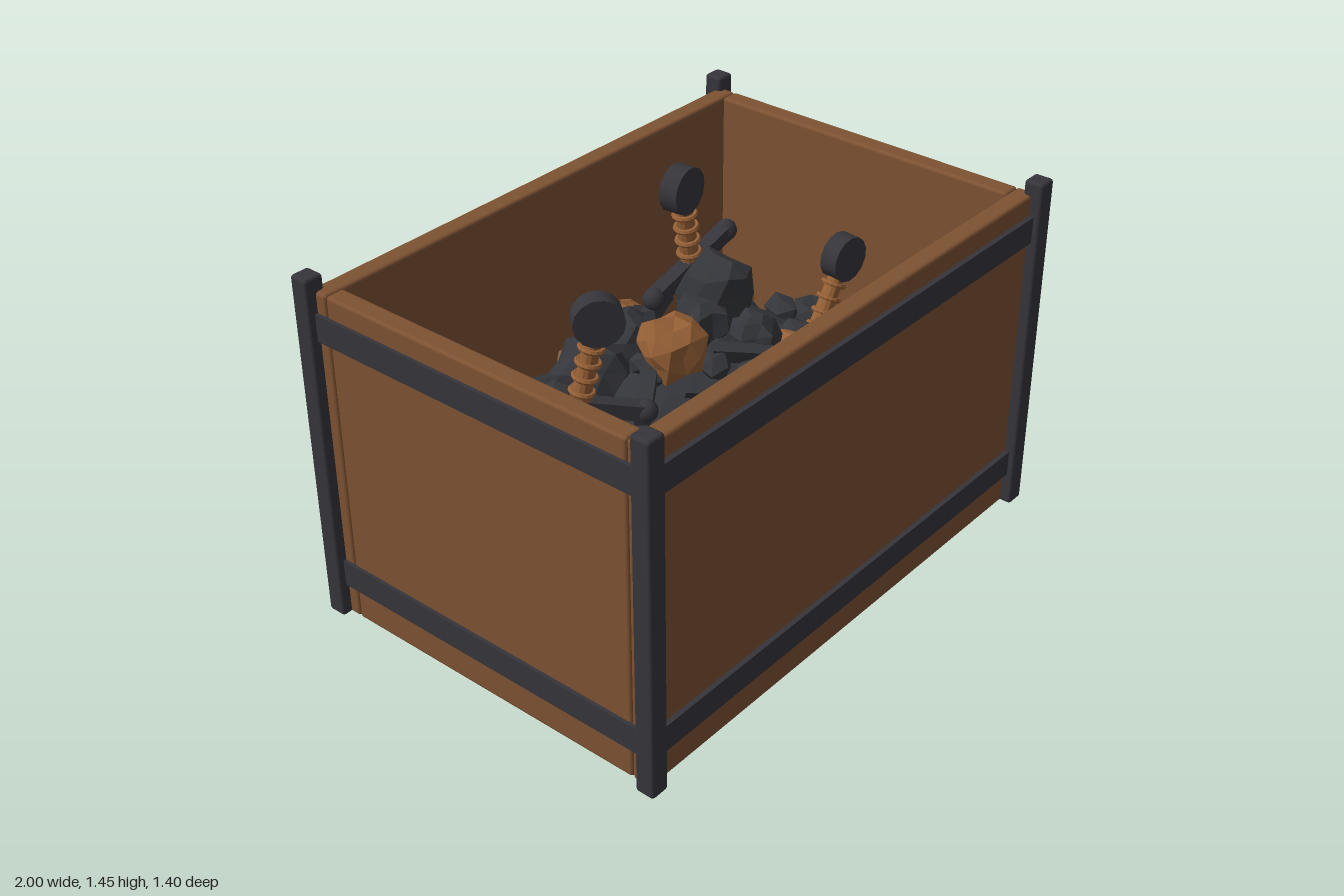
import * as THREE from 'three';
import { RoundedBoxGeometry } from 'three/addons/geometries/RoundedBoxGeometry.js';

const mat = (name, color, opts = {}) => {
  const m = new THREE.MeshStandardMaterial({ color, ...opts });
  m.name = name;
  return m;
};

export function createModel() {
  const root = new THREE.Group();
  root.name = 'scrapCrate';
  const wood = mat('wood', 0x7d5232);
  const lightWood = mat('lightWood', 0x966036, { flatShading: true });
  const iron = mat('iron', 0x36353b);
  const scrap = mat('scrap', 0x35363b, { flatShading: true, side: THREE.DoubleSide });

  let seed = 7;
  const rand = () => (seed = (seed * 16807) % 2147483647) / 2147483647;
  const range = (a, b) => a + (b - a) * rand();

  const add = (parent, name, geometry, material, x = 0, y = 0, z = 0) => {
    const m = new THREE.Mesh(geometry, material);
    m.name = name;
    m.position.set(x, y, z);
    parent.add(m);
    return m;
  };
  const box = (name, w, h, d, r, material, x, y, z) =>
    add(root, name, new RoundedBoxGeometry(w, h, d, 2, r), material, x, y, z);

  // Floor, walls, feet, corner posts and bands
  add(root, 'floor', new THREE.BoxGeometry(1.9, 0.06, 1.28), wood, 0, 0.135, 0);
  for (const s of [-1, 1]) {
    box('longWall', 1.93, 1.2, 0.07, 0.012, wood, 0, 0.7, s * 0.625);
    box('endWall', 0.07, 1.2, 1.18, 0.012, wood, s * 0.93, 0.7, 0);
    for (const y of [0.267, 1.182]) {
      add(root, 'longBand', new THREE.BoxGeometry(1.9, 0.094, 0.03), iron, 0, y, s * 0.662);
      add(root, 'endBand', new THREE.BoxGeometry(0.03, 0.094, 1.3), iron, s * 0.962, y, 0);
    }
    for (const t of [-1, 1]) {
      box('cornerPost', 0.07, 1.25, 0.07, 0.012, iron, s * 0.965, 0.725, t * 0.665);
      box('foot', 0.19, 0.075, 0.19, 0.012, lightWood, s * 0.793, 0.065, t * 0.493);
    }
  }

  // Heap: half of a faceted ellipsoid
  const base = 0.16, rise = 0.8;
  const heap = new THREE.SphereGeometry(1, 20, 8, 0, Math.PI * 2, 0, Math.PI / 2);
  heap.scale(0.85, rise, 0.55);
  add(root, 'heap', heap, scrap, 0, base, 0);
  const heapY = (x, z) =>
    base + rise * Math.sqrt(Math.max(0, 1 - (x / 0.85) ** 2 - (z / 0.55) ** 2));

  // Rocks: icosahedra with corners pushed in and out by direction
  const rock = (x, z, r, material, lift = 0.03) => {
    const g = new THREE.IcosahedronGeometry(r, r > 0.085 ? 1 : 0);
    const p = g.attributes.position, v = new THREE.Vector3(), phase = range(0, 6);
    for (let i = 0; i < p.count; i++) {
      v.fromBufferAttribute(p, i);
      const n = Math.sin(v.x / r * 5 + phase) * Math.cos(v.y / r * 4 - phase) + Math.sin(v.z / r * 6 + phase);
      v.multiplyScalar(1 + 0.12 * n);
      p.setXYZ(i, v.x, v.y, v.z);
    }
    g.computeVertexNormals();
    add(root, 'rock', g, material, x, heapY(x, z) + lift, z).rotation.set(range(0, 6), range(0, 6), range(0, 6));
  };
  for (const [x, z, r, lift] of [
    [0.13, 0, 0.12, 0.12], [0.02, 0.04, 0.09, 0.06], [0.12, 0.16, 0.09, 0.03], [-0.33, -0.13, 0.12, 0.04],
    [-0.46, -0.12, 0.1, 0.03], [-0.16, -0.1, 0.1, 0.05], [0.2, -0.08, 0.1, 0.06], [-0.3, -0.38, 0.09, 0.03],
    [-0.15, -0.48, 0.07, 0.03], [-0.48, -0.38, 0.08, 0.03], [0.3, -0.44, 0.09, 0.03], [0.58, 0.06, 0.09, 0.02],
    [-0.36, 0.36, 0.08, 0.03], [0.0, 0.4, 0.08, 0.02], [0.3, 0.2, 0.08, 0.02], [0.58, 0.32, 0.07, 0.03],
  ]) rock(x, z, r, scrap, lift);
  for (const [x, z, r, lift] of [
    [-0.17, 0.07, 0.11, 0.08], [0.08, -0.36, 0.11, 0.04], [-0.3, -0.22, 0.07, 0.05], [-0.64, -0.25, 0.07, 0.03],
    [0.33, -0.07, 0.06, 0.05], [0.4, 0.4, 0.07, 0.03], [0.24, 0.23, 0.07, 0.03], [0.02, 0.45, 0.06, 0.03],
  ]) rock(x, z, r, lightWood, lift);
  for (let i = 0; i < 24; i++) {
    const a = range(0, Math.PI * 2), q = range(0.2, 0.85);
    rock(0.8 * q * Math.cos(a), 0.5 * q * Math.sin(a), range(0.035, 0.06), scrap, 0.02);
  }

  // Lay a piece flat on the heap, turned by yaw
  const lay = (mesh, yaw, lift) => {
    const { x, z } = mesh.position;
    const y = heapY(x, z);
    const n = new THREE.Vector3(x / 0.7225, (y - base) / (rise * rise), z / 0.3025).normalize();
    const up = new THREE.Vector3(0, 1, 0);
    n.lerp(up, 0.5).normalize();
    mesh.quaternion.setFromUnitVectors(up, n)
      .multiply(new THREE.Quaternion().setFromAxisAngle(up, yaw));
    mesh.position.y = y + lift;
  };

  // Broken planks and bars
  for (const [x, z, len, yaw] of [
    [0.41, -0.37, 0.22, 1.0], [-0.14, 0.35, 0.24, 1.25], [-0.55, 0.37, 0.14, -1.4], [0.38, 0.38, 0.16, 0.8],
  ]) lay(add(root, 'plank', new THREE.BoxGeometry(len, 0.03, 0.055), lightWood, x, 0, z), yaw, 0.06);
  for (const [x, z, len, yaw] of [
    [-0.58, 0.16, 0.28, -0.3], [-0.32, 0.1, 0.25, 0.6], [0.69, 0.15, 0.2, -0.15], [0.1, -0.22, 0.25, 0.5],
    [0.02, 0.2, 0.2, -0.7],
  ]) lay(add(root, 'bar', new THREE.BoxGeometry(len, 0.045, 0.05), scrap, x, 0, z), yaw, 0.05);

  // Long pointed shards
  const shardShape = new THREE.Shape([[-0.5, 0.1], [-0.3, -0.02], [-0.46, -0.14], [0.1, -0.15], [0.5, 0], [0.1, 0.13]]
    .map(([a, b]) => new THREE.Vector2(a, b * 0.8)));
  for (const [x, z, len, yaw] of [
    [-0.5, 0.27, 0.55, 3.1], [0.5, 0.35, 0.5, -0.1], [0.54, -0.27, 0.5, 0.35], [-0.5, -0.3, 0.48, 2.9],
    [0.35, 0.26, 0.45, -0.2], [-0.1, 0.27, 0.35, -0.25],
  ]) {
    const g = new THREE.ExtrudeGeometry(shardShape, { depth: 0.04, bevelEnabled: false });
    g.rotateX(-Math.PI / 2).scale(len, 0.6, len);
    lay(add(root, 'shard', g, scrap, x, 0, z), yaw, 0.06);
  }

  // Swords stuck in the heap, with jagged broken tips
  const sword = (guard, pommel, dir, length) => {
    const s = new THREE.Group();
    s.name = 'sword';
    const y = new THREE.Vector3(...pommel).sub(new THREE.Vector3(...guard)).normalize();
    const z = new THREE.Vector3(...dir).cross(y).normalize();
    const x = y.clone().cross(z);
    s.quaternion.setFromRotationMatrix(new THREE.Matrix4().makeBasis(x, y, z));
    s.position.set(...guard);
    root.add(s);
    add(s, 'crossguard', new THREE.BoxGeometry(0.42, 0.05, 0.05), iron);
    for (const e of [-1, 1]) add(s, 'guardBall', new THREE.SphereGeometry(0.037, 12, 8), iron, e * 0.21, 0, 0);
    add(s, 'grip', new THREE.CylinderGeometry(0.027, 0.033, 0.25, 12), lightWood, 0, 0.135, 0);
    for (let i = 0; i < 4; i++) {
      add(s, 'gripRing', new THREE.TorusGeometry(0.035, 0.009, 6, 14), lightWood, 0, 0.05 + i * 0.05, 0)
        .rotation.x = Math.PI / 2;
    }
    add(s, 'pommel', new THREE.CylinderGeometry(0.08, 0.08, 0.065, 14), iron, 0, 0.295, 0).rotation.x = Math.PI / 2;
    const blade = new THREE.Shape([[-0.065, 0], [0.065, 0], [0.065, 0.05 - length], [0.04, -length],
      [0, 0.06 - length], [-0.03, 0.01 - length], [-0.065, 0.08 - length]].map(p => new THREE.Vector2(...p)));
    add(s, 'blade', new THREE.ExtrudeGeometry(blade, { depth: 0.034, bevelEnabled: false }), scrap, 0, 0, -0.017);
  };
  sword([0.19, 1.08, -0.15], [0.14, 1.37, -0.145], [1, 0, -0.09], 0.9);
  sword([-0.56, 0.98, 0.04], [-0.51, 1.27, 0.08], [0.77, 0, 0.63], 0.99);
  sword([0.5, 0.76, 0.13], [0.62, 0.99, 0.14], [1, 0, 0.07], 0.84);

  return root;
}
